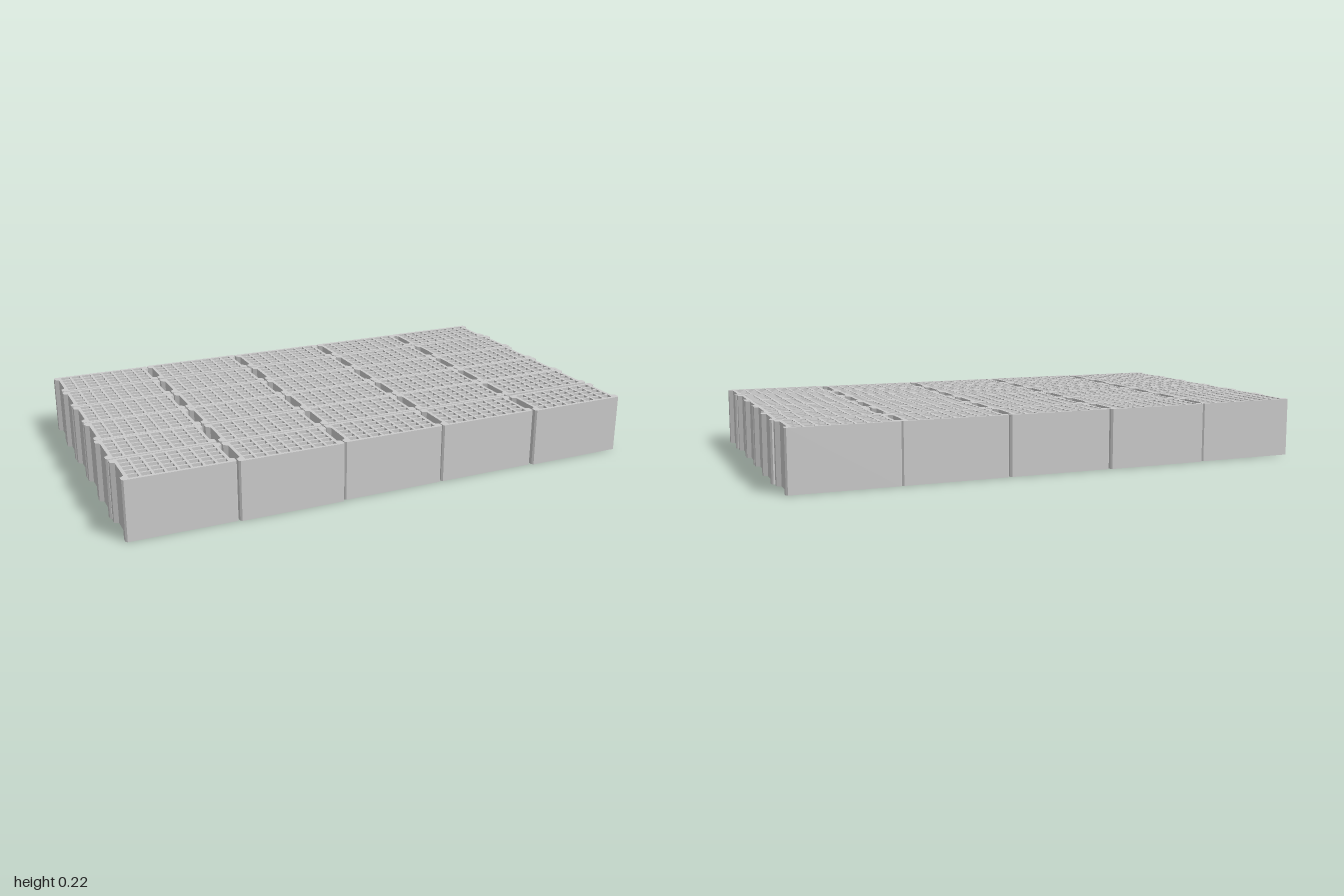
import * as THREE from 'three';

const HEIGHT = 0.222;
const HALF_W = 0.197, HALF_D = 0.094; // outer half size of one block
const RECESS = 0.182;                 // half length at the recessed end faces
const COLS = 8, ROWS = 5;             // cells in each block

// Closed path through a list of [x, y] points
const trace = (path, pts) => path.setFromPoints(pts.map(([x, y]) => new THREE.Vector2(x, y)));

// Hollow block: four chamfered corner lugs, recessed ends, a grid of through cells
function blockGeometry() {
  const c = 0.006;
  const quarter = [ // from the end recess round the corner
    [RECESS, 0.057], [HALF_W, 0.068], [HALF_W, HALF_D - c], [HALF_W - c, HALF_D],
  ];
  const flip = (pts, sx, sy) => pts.map(([x, y]) => [x * sx, y * sy]);
  const shape = trace(new THREE.Shape(), [
    ...quarter,
    ...flip(quarter, -1, 1).reverse(),
    ...flip(quarter, -1, -1),
    ...flip(quarter, 1, -1).reverse(),
  ]);
  const pitchX = 0.0436, pitchY = 0.0344, hx = 0.0172, hy = 0.0127;
  for (let i = 0; i < COLS; i++) {
    for (let j = 0; j < ROWS; j++) {
      const x = (i - (COLS - 1) / 2) * pitchX, y = (j - (ROWS - 1) / 2) * pitchY;
      shape.holes.push(trace(new THREE.Path(), [
        [x - hx, y - hy], [x - hx, y + hy], [x + hx, y + hy], [x + hx, y - hy],
      ]));
    }
  }
  const geo = new THREE.ExtrudeGeometry(shape, { depth: HEIGHT, bevelEnabled: false });
  return geo.rotateX(-Math.PI / 2);
}

// Small laying offsets in thousandths, one row of blocks per line, back to front
const OFFSET_X = [
  [2, 0, 0, 0, -4],
  [-1, 0, 5, 3, 5],
  [0, 0, 0, 0, -2],
  [0, 0, 0, 0, -2],
  [-5, 0, 0, 0, -3],
  [0, 0, 0, 0, 2],
];
const OFFSET_Z = [
  [1, -4, 1, 1, 0],
  [3, 3, 3, 3, 4],
  [3, 3, 3, 3, 4],
  [1, 1, 1, 1, 1],
  [-2, 5, -2, -2, -2],
  [-1, 6, -1, -1, 7],
];

export function createModel() {
  const group = new THREE.Group();
  group.name = 'hollowBlockLayer';
  const geometry = blockGeometry();
  const material = new THREE.MeshStandardMaterial({ color: 0xcccccc });
  for (let r = 0; r < 6; r++) {
    for (let c = 0; c < 5; c++) {
      const block = new THREE.Mesh(geometry, material);
      block.name = `hollowBlockRow${r + 1}Column${c + 1}`;
      block.position.set(
        (c - 2) * 0.398 + OFFSET_X[r][c] / 1000, 0,
        (r - 2.5) * 0.193 + OFFSET_Z[r][c] / 1000,
      );
      group.add(block);
    }
  }
  return group;
}
